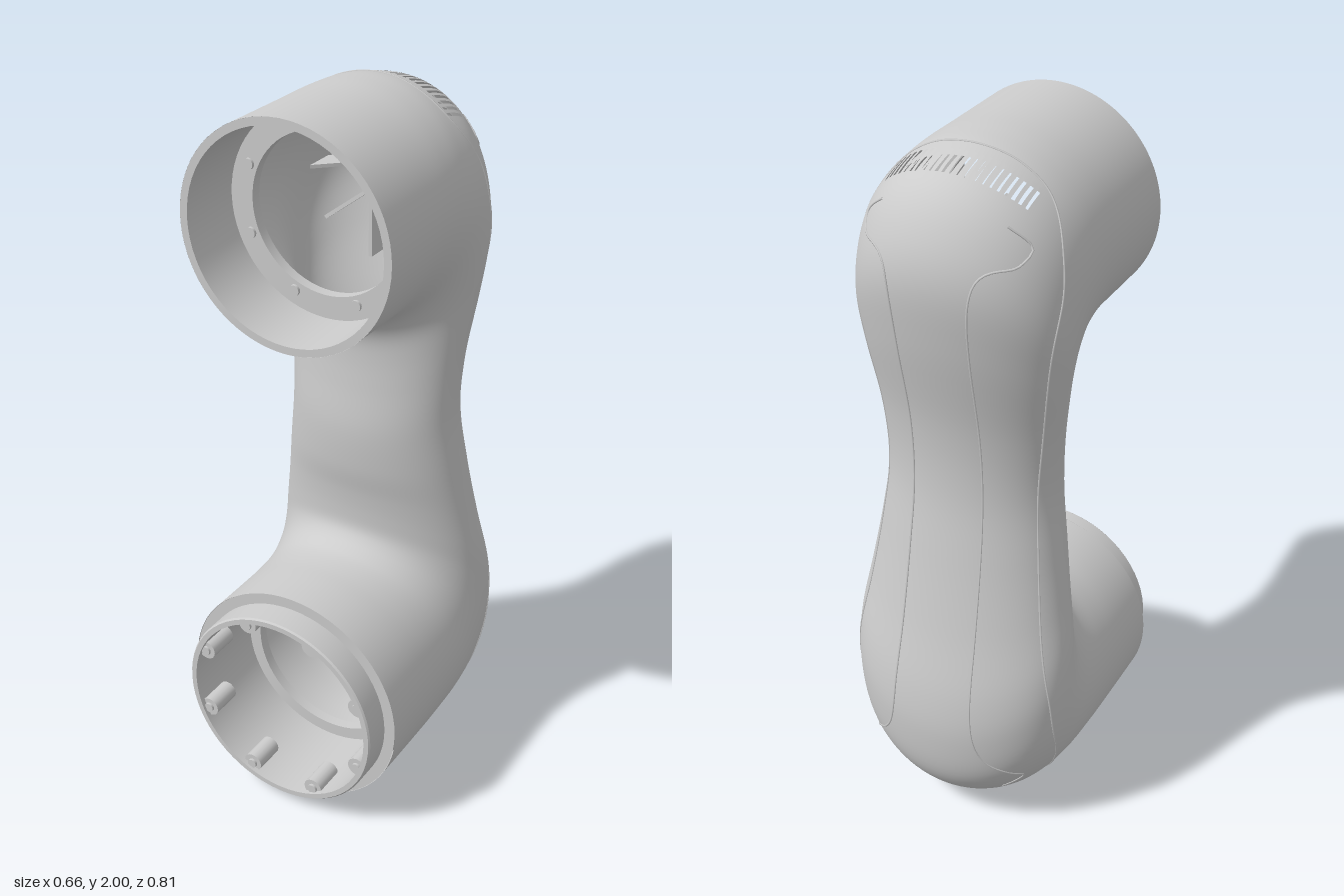
import * as THREE from 'three';
import { toCreasedNormals } from 'three/addons/utils/BufferGeometryUtils.js';

const material = new THREE.MeshStandardMaterial({ color: 0xcccccc, side: THREE.DoubleSide });

// Sections along the bent arm: inner-bend point (y, z), outer-bend point (y, z), half width
const SECTIONS = [
  [1.40, 0.33, 2.00, 0.33, 0.30], [1.40, 0.20, 2.00, 0.10, 0.30], [1.40, 0.14, 2.00, -0.03, 0.30],
  [1.39, 0.09, 1.99, -0.13, 0.30], [1.375, 0.06, 1.95, -0.25, 0.30], [1.35, 0.04, 1.86, -0.325, 0.297],
  [1.31, 0.028, 1.73, -0.36, 0.29], [1.25, 0.027, 1.55, -0.34, 0.275], [1.17, 0.033, 1.30, -0.29, 0.255],
  [1.05, 0.045, 1.10, -0.28, 0.25], [0.93, 0.04, 0.90, -0.305, 0.27], [0.84, 0.026, 0.68, -0.345, 0.295],
  [0.77, 0.02, 0.48, -0.39, 0.318], [0.72, 0.022, 0.33, -0.40, 0.327], [0.69, 0.04, 0.18, -0.375, 0.33],
  [0.67, 0.07, 0.07, -0.29, 0.33], [0.66, 0.10, 0.02, -0.17, 0.33], [0.655, 0.15, 0.005, -0.03, 0.33],
  [0.655, 0.22, 0.0, 0.10, 0.33], [0.655, 0.33, 0.0, 0.33, 0.33],
];
const LAST = SECTIONS.length - 1;
const curve = (f) => new THREE.CatmullRomCurve3(SECTIONS.map(f), false, 'catmullrom', 0.5);
const innerBend = curve((s) => new THREE.Vector3(0, s[0], s[1]));
const outerBend = curve((s) => new THREE.Vector3(0, s[2], s[3]));
const halfWidth = curve((s, i) => new THREE.Vector3(s[4], i, 0));

// Point on the arm at section s (0..LAST) and angle a from the outer bend, sunk by depth
function armPoint(s, a, depth = 0) {
  const t = s / LAST;
  const p = innerBend.getPoint(t), q = outerBend.getPoint(t);
  const centre = p.clone().add(q).multiplyScalar(0.5);
  const half = q.sub(p).multiplyScalar(0.5);
  half.setLength(half.length() - depth);
  const point = centre.addScaledVector(half, Math.cos(a));
  point.x = (halfWidth.getPoint(t).x - depth) * Math.sin(a);
  return point;
}

// Lofted skin; alternate strips are left out at both ends to form the vent slots
function skin(depth, flip) {
  const rows = LAST * 6, cols = 192, positions = [], index = [];
  for (let i = 0; i <= rows; i++) {
    for (let j = 0; j < cols; j++) {
      positions.push(...armPoint(i / 6, (j / cols) * Math.PI * 2, depth).toArray());
    }
  }
  for (let i = 0; i < rows; i++) {
    const o = outerBend.getPoint((i + 0.5) / rows);
    const ventRow = (o.y > 1.8 || o.y < 0.15) && o.z < -0.14 && o.z > -0.235;
    for (let j = 0; j < cols; j++) {
      const fromBack = Math.min(j, cols - j);
      if (ventRow && fromBack < 23 && j % 2 === 1) continue;
      const k = (j + 1) % cols;
      const a = i * cols + j, b = i * cols + k, c = a + cols, d = b + cols;
      if (flip) index.push(a, c, b, b, c, d);
      else index.push(a, b, c, b, d, c);
    }
  }
  const g = new THREE.BufferGeometry();
  g.setAttribute('position', new THREE.Float32BufferAttribute(positions, 3));
  g.setIndex(index);
  g.computeVertexNormals();
  return g;
}

function add(parent, name, geometry, x = 0, y = 0, z = 0) {
  const mesh = new THREE.Mesh(geometry, material);
  mesh.name = name;
  mesh.position.set(x, y, z);
  parent.add(mesh);
  return mesh;
}

// Turned part with its axis along z, from [radius, z] points
function turned(points) {
  const g = new THREE.LatheGeometry(points.map(([r, z]) => new THREE.Vector2(r, z)), 64);
  return toCreasedNormals(g.rotateX(Math.PI / 2), 0.5);
}

// Rod along z
const rod = (r, length) => new THREE.CylinderGeometry(r, r, length, 16).rotateX(Math.PI / 2);

// Fine seam following the skin, mirrored to both sides; path is [section, degrees]
function addSeams(parent, name, path) {
  const guide = new THREE.CatmullRomCurve3(path.map(([s, d]) => new THREE.Vector3(s, d / 15, 0)));
  for (const side of [-1, 1]) {
    const points = guide.getPoints(80).map((p) => armPoint(p.x, side * THREE.MathUtils.degToRad(p.y * 15)));
    add(parent, name, new THREE.TubeGeometry(new THREE.CatmullRomCurve3(points), 120, 0.003, 5));
  }
}

// Hub, radial ribs and walls on the inside of the back; toArm is the y direction of the arm
function addBackRibs(parent, toArm, scale) {
  const ribs = new THREE.Group();
  ribs.name = 'backRibs';
  const shape = new THREE.Shape([[0.09, -0.32], [0.16, -0.285], [0.215, -0.22], [0.215, -0.13], [0.09, -0.25]]
    .map(([r, z]) => new THREE.Vector2(r, z)));
  const rib = new THREE.ExtrudeGeometry(shape, { depth: 0.01, bevelEnabled: false });
  rib.translate(0, 0, -0.005).rotateX(Math.PI / 2);
  for (const degrees of [0, 62, 118, 180, 218, 322]) {
    add(ribs, 'rib', rib).rotation.z = -toArm * THREE.MathUtils.degToRad(degrees);
  }
  add(ribs, 'hub', turned([[0, -0.31], [0.08, -0.31], [0.08, -0.24], [0.09, -0.24], [0.09, -0.33]]));
  for (const x of [-0.07, 0.07]) {
    add(ribs, 'innerWall', new THREE.BoxGeometry(0.01, 0.17, 0.1), x, toArm * 0.165, -0.25);
  }
  ribs.scale.setScalar(scale);
  parent.add(ribs);
}

// Eight positions evenly spaced around a socket
function eachScrew(radius, place) {
  for (let i = 0; i < 8; i++) {
    const a = ((i + 0.5) / 8) * Math.PI * 2;
    place(radius * Math.cos(a), radius * Math.sin(a));
  }
}

export function createModel() {
  const model = new THREE.Group();
  model.name = 'armLink';

  // Hollow arm
  add(model, 'outerShell', skin(0, false));
  add(model, 'innerShell', skin(0.02, true));

  // Seams of the back cover and its central panel
  addSeams(model, 'coverSeam', [[2.85, 0], [2.9, 25], [3.2, 45], [4, 62], [5, 72], [7, 70], [9, 63],
    [11, 63], [13, 70], [14.5, 68], [15.7, 50], [16.2, 30], [16.4, 0]]);
  addSeams(model, 'panelSeam', [[4.4, 34], [4.5, 48], [5, 44], [5.8, 24], [9, 24], [13, 24], [14, 40],
    [14.5, 46], [14.7, 32]]);

  // Upper socket: plain rim and screw flange
  const upper = new THREE.Group();
  upper.name = 'upperSocket';
  upper.position.y = 1.7;
  add(upper, 'rimAndFlange', turned([[0.3, 0.33], [0.279, 0.33], [0.279, 0.14], [0.215, 0.14],
    [0.215, 0.11], [0.28, 0.11]]));
  eachScrew(0.24, (x, y) => add(upper, 'screw', rod(0.015, 0.012), x, y, 0.142));
  addBackRibs(upper, -1, 1);
  model.add(upper);

  // Lower socket: stepped collar, flange and screw lugs
  const lower = new THREE.Group();
  lower.name = 'lowerSocket';
  lower.position.y = 0.328;
  add(lower, 'collar', turned([[0.328, 0.33], [0.296, 0.33], [0.296, 0.405], [0.292, 0.41], [0.277, 0.41],
    [0.277, 0.14], [0.24, 0.14], [0.24, 0.11], [0.308, 0.11]]));
  eachScrew(0.267, (x, y) => {
    add(lower, 'lug', rod(0.028, 0.09), x, y, 0.35);
    add(lower, 'screw', rod(0.014, 0.01), x, y, 0.397);
  });
  addBackRibs(lower, 1, 1.12);
  model.add(lower);

  return model;
}
